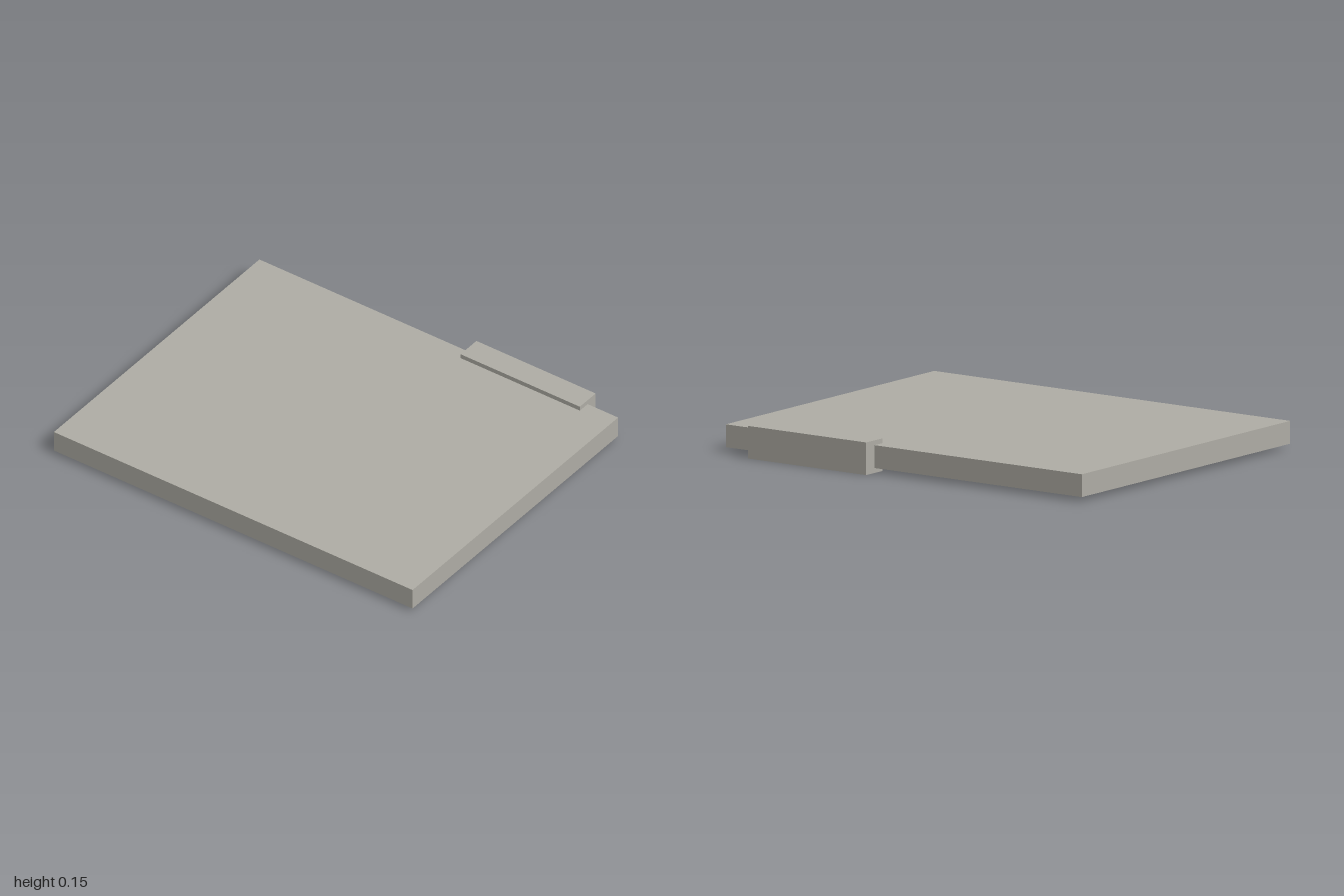
import * as THREE from 'three';

export function createModel() {
  const model = new THREE.Group();
  const grey = new THREE.MeshStandardMaterial({ color: 0xb0aea6 });
  grey.name = 'warm grey';

  const add = (name, geometry) => {
    const mesh = new THREE.Mesh(geometry, grey);
    mesh.name = name;
    model.add(mesh);
    return mesh;
  };

  // A box given by its limits on each axis
  const block = (name, [x0, x1], [y0, y1], [z0, z1]) => {
    add(name, new THREE.BoxGeometry(x1 - x0, y1 - y0, z1 - z0))
      .position.set((x0 + x1) / 2, (y0 + y1) / 2, (z0 + z1) / 2);
  };

  // Main slab and the raised plate under it
  block('slab', [-1, 1], [0.023, 0.128], [-0.76, 0.822]);
  block('undersidePlate', [-0.79, 0.79], [0, 0.023], [-0.05, 0.45]);

  // C-shaped clip gripping the back edge: profile in (-z, y), extruded along x
  const profile = new THREE.Shape([
    [0.70, 0], [0.822, 0], [0.822, 0.15], [0.70, 0.15],
    [0.70, 0.128], [0.76, 0.128], [0.76, 0.023], [0.70, 0.023],
  ].map(([x, y]) => new THREE.Vector2(x, y)));
  const clip = new THREE.ExtrudeGeometry(profile, { depth: 0.665, bevelEnabled: false });
  clip.rotateY(Math.PI / 2);
  clip.translate(0.165, 0, 0);
  add('edgeClip', clip);

  return model;
}
